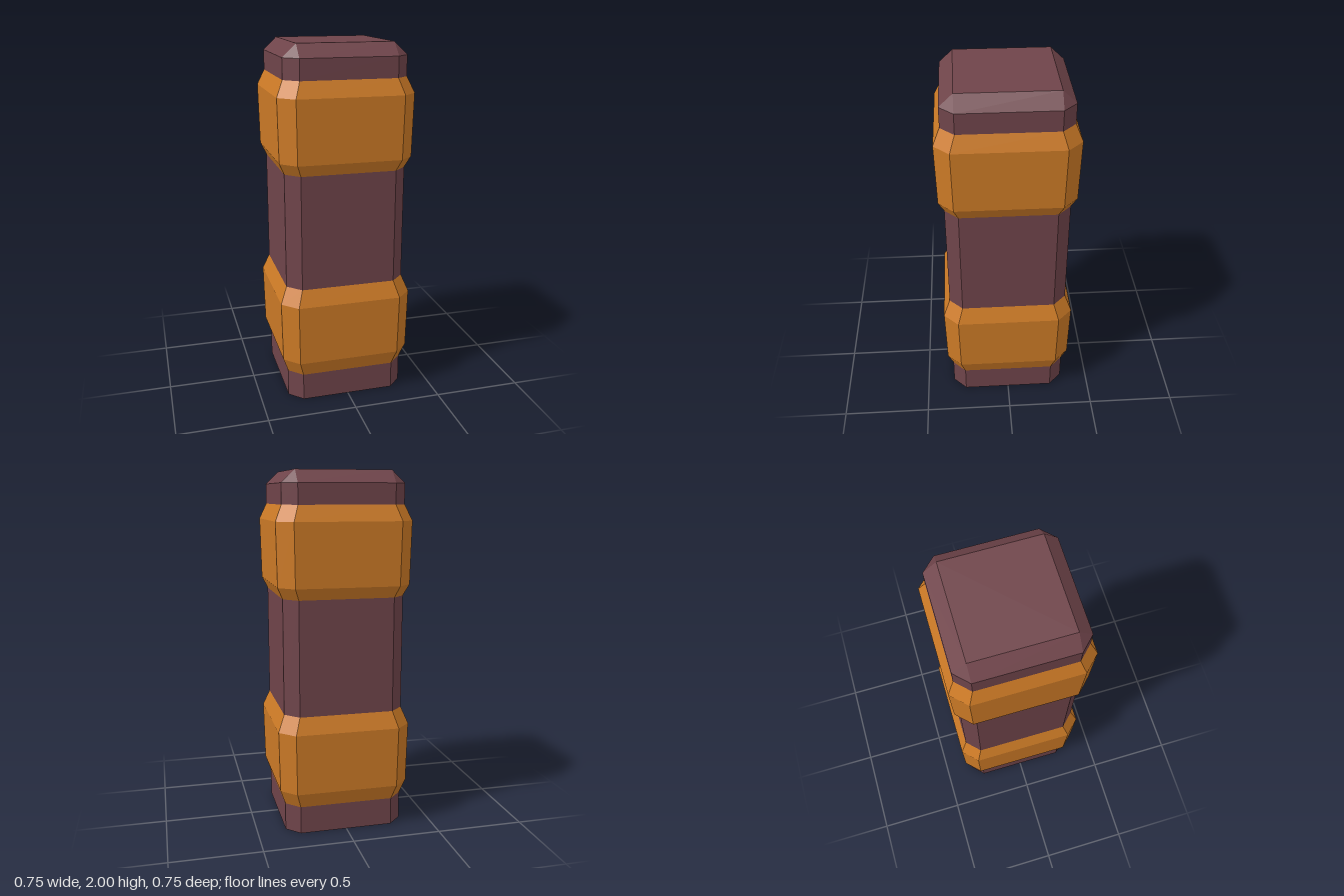
import * as THREE from 'three';

// Chamfered-square ring: r = half width, c = half length of the flat side
function ring([y, r, c]) {
  return [[-c, r], [c, r], [r, c], [r, -c], [c, -r], [-c, -r], [-r, -c], [-r, c]]
    .map(([x, z]) => new THREE.Vector3(x, y, z));
}

// Open, flat-shaded shell through a list of rings
function shell(name, material, sections) {
  const rings = sections.map(ring);
  const points = [];
  const tri = (a, b, c) => {
    if (new THREE.Triangle(a, b, c).getArea() > 1e-8) points.push(a, b, c);
  };
  for (let i = 0; i < rings.length - 1; i++) {
    const lo = rings[i], hi = rings[i + 1];
    for (let j = 0; j < 8; j++) {
      const k = (j + 1) % 8;
      tri(lo[j], lo[k], hi[k]);
      tri(lo[j], hi[k], hi[j]);
    }
  }
  const geometry = new THREE.BufferGeometry().setFromPoints(points);
  geometry.computeVertexNormals();
  const mesh = new THREE.Mesh(geometry, material);
  mesh.name = name;
  return mesh;
}

export function createModel() {
  const model = new THREE.Group();
  model.name = 'bandedPillar';

  const plum = new THREE.MeshStandardMaterial({ name: 'plum', color: 0x6f444a, side: THREE.DoubleSide });
  const amber = new THREE.MeshStandardMaterial({ name: 'amber', color: 0xcc7a26, side: THREE.DoubleSide });

  const R = 0.338, C = 0.264;
  const bands = [
    { name: 'lowerBand', y: [0.157, 0.243, 0.587, 0.68] },
    { name: 'upperBand', y: [1.322, 1.386, 1.732, 1.818] },
  ];

  // Hollow body sections between the bands, open at the bottom
  model.add(shell('foot', plum, [[0, R, C], [bands[0].y[0], R, C]]));
  model.add(shell('shaft', plum, [[bands[0].y[3], R, C], [bands[1].y[0], R, C]]));
  model.add(shell('head', plum, [[bands[1].y[3], R, C], [1.93, R, C], [2, C, C]]));

  // Flat top
  const top = new THREE.Mesh(new THREE.PlaneGeometry(2 * C, 2 * C).rotateX(-Math.PI / 2), plum);
  top.position.y = 2;
  top.name = 'top';
  model.add(top);

  // Bulging bands
  for (const { name, y } of bands) {
    model.add(shell(name, amber, [
      [y[0], R, C], [y[1], 0.368, 0.287], [y[2], 0.375, 0.292], [y[3], R, C],
    ]));
  }
  return model;
}
